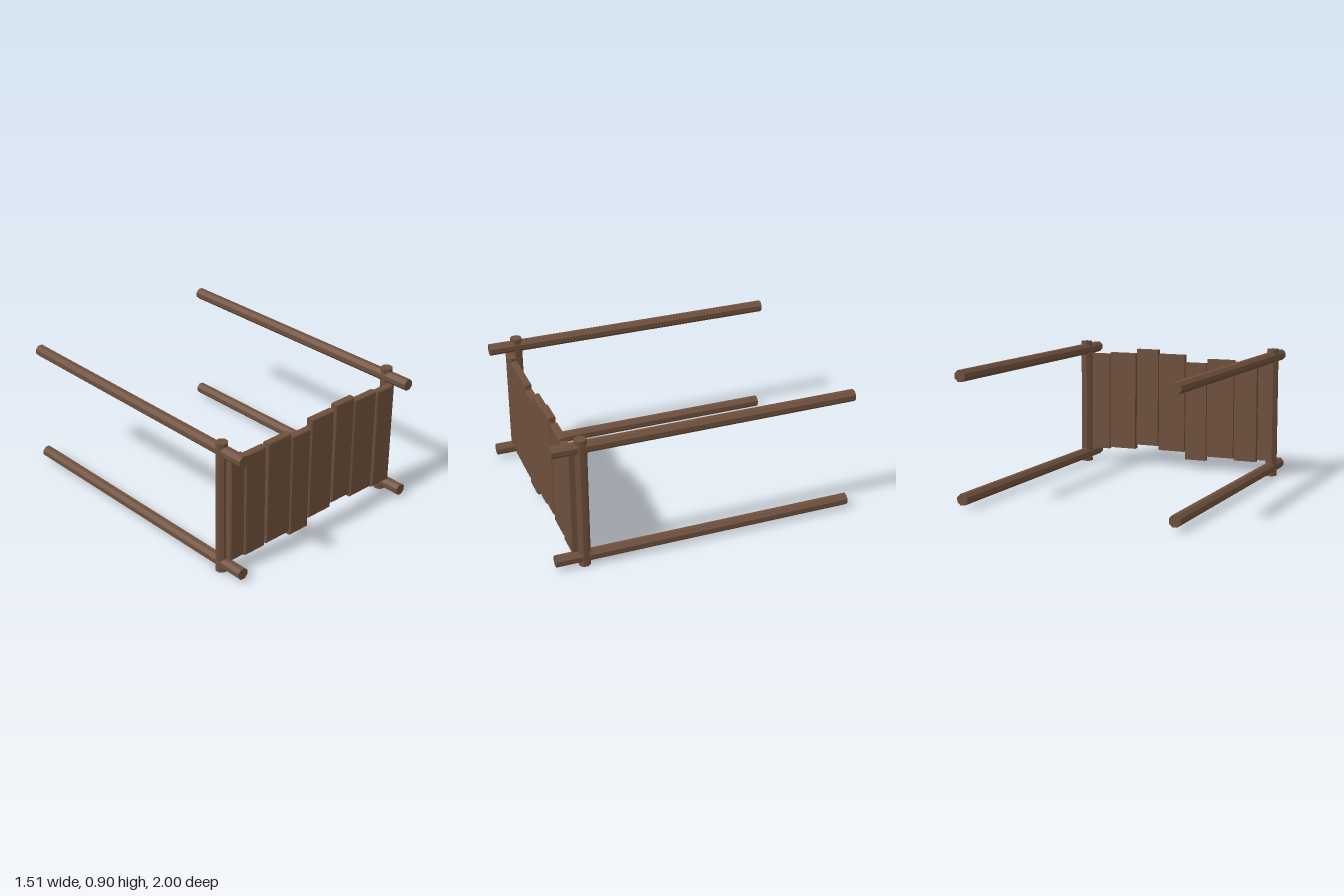
import * as THREE from 'three';

const wood = new THREE.MeshStandardMaterial({ color: 0x6e4f3c, flatShading: true });
wood.name = 'brown wood';

// Octagonal pole with flat sides facing the axes
function pole(name, length) {
  const geometry = new THREE.CylinderGeometry(0.0395, 0.0395, length, 8);
  geometry.rotateY(Math.PI / 8);
  const mesh = new THREE.Mesh(geometry, wood);
  mesh.name = name;
  return mesh;
}

// Board whose front edges are chamfered
function plank(x0, x1, bottom, z) {
  const w = x1 - x0, h = 0.71, d = 0.045, c = 0.007;
  const geometry = new THREE.BoxGeometry(w, h, d, 1, 1, 2);
  const p = geometry.attributes.position;
  for (let i = 0; i < p.count; i++) {
    if (p.getZ(i) > 0.01) {
      p.setX(i, p.getX(i) - Math.sign(p.getX(i)) * c);
      p.setY(i, p.getY(i) - Math.sign(p.getY(i)) * c);
    } else if (p.getZ(i) > -0.01) {
      p.setZ(i, d / 2 - c);
    }
  }
  geometry.computeVertexNormals();
  const mesh = new THREE.Mesh(geometry, wood);
  mesh.name = 'plank';
  mesh.position.set((x0 + x1) / 2, bottom + h / 2, z);
  return mesh;
}

export function createModel() {
  const model = new THREE.Group();
  model.name = 'plankFence';

  // Upright posts and the long rails through them
  for (const side of [-1, 1]) {
    const label = side > 0 ? 'left' : 'right';
    const post = pole(label + 'Post', 0.9);
    post.position.set(side * 0.721, 0.45, 0.812);
    model.add(post);
    for (const [level, y] of [['Lower', 0.06], ['Upper', 0.842]]) {
      const rail = pole(label + level + 'Rail', 2);
      rail.rotation.x = Math.PI / 2;
      rail.position.set(side * 0.718, y, 0);
      model.add(rail);
    }
  }

  // Uneven boards: left edge, right edge, bottom, depth
  const planks = new THREE.Group();
  planks.name = 'planks';
  const boards = [
    [-0.718, -0.605, 0.095, 0.869], [-0.595, -0.429, 0.079, 0.867],
    [-0.42, -0.219, 0.09, 0.872], [-0.212, -0.053, 0.058, 0.87],
    [-0.046, 0.155, 0.112, 0.869], [0.165, 0.333, 0.14, 0.872],
    [0.343, 0.544, 0.107, 0.867], [0.554, 0.715, 0.095, 0.869],
  ];
  for (const board of boards) planks.add(plank(...board));
  model.add(planks);

  return model;
}
